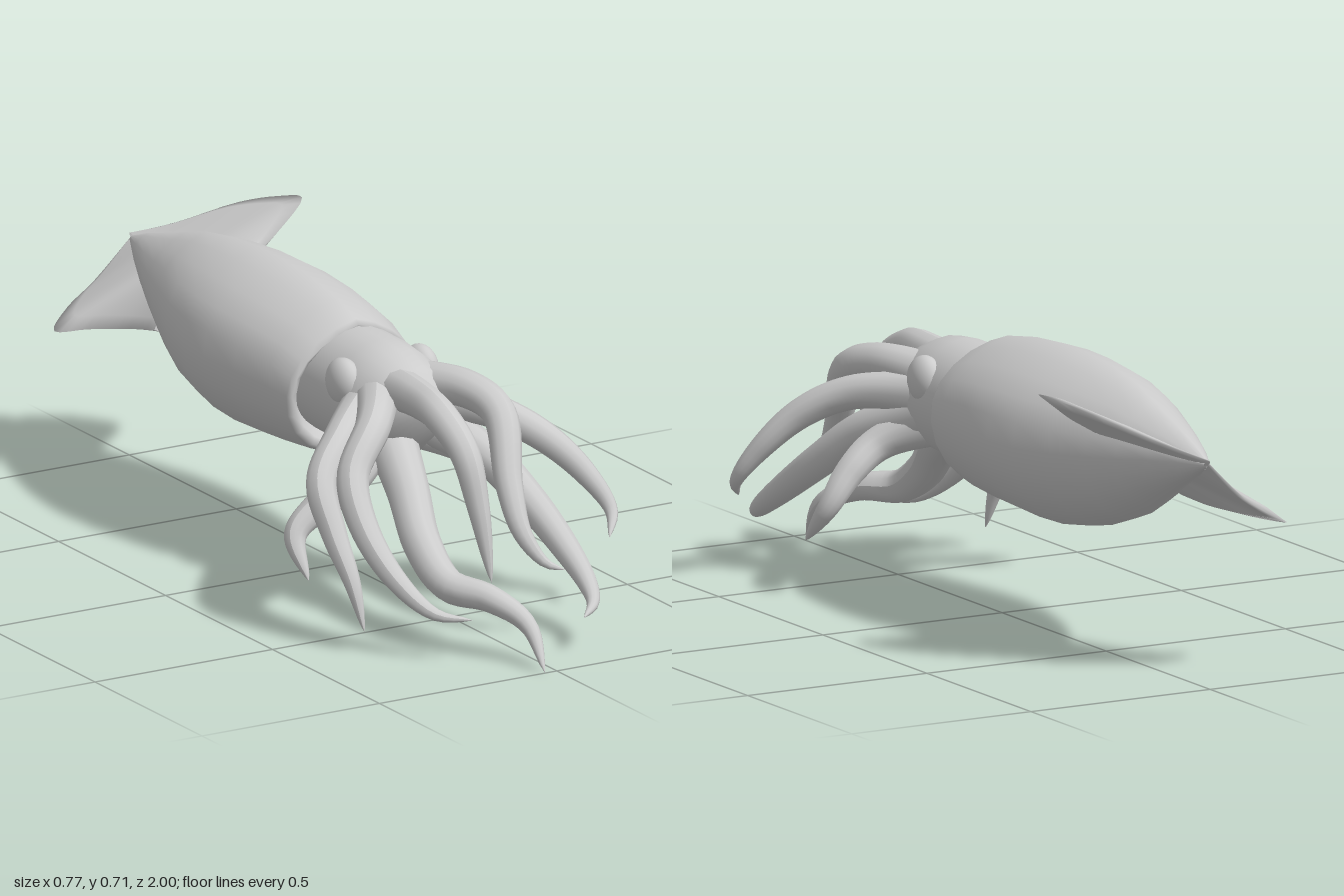
import * as THREE from 'three';

const skin = new THREE.MeshStandardMaterial({ color: 0xcccccc, side: THREE.DoubleSide });
skin.name = 'grey skin';

const V = (p) => new THREE.Vector3(...p);

function add(group, name, geometry) {
  const mesh = new THREE.Mesh(geometry, skin);
  mesh.name = name;
  group.add(mesh);
  return mesh;
}

// Joins rows of points into one smooth surface; closed rows wrap around.
function skinRows(rows, closed) {
  const m = rows[0].length;
  const index = [];
  for (let i = 0; i < rows.length - 1; i++) {
    for (let j = 0; j < (closed ? m : m - 1); j++) {
      const a = i * m + j, b = i * m + (j + 1) % m;
      index.push(a, a + m, b, b, a + m, b + m);
    }
  }
  const g = new THREE.BufferGeometry();
  g.setAttribute('position', new THREE.Float32BufferAttribute(rows.flat(2), 3));
  g.setIndex(index);
  g.computeVertexNormals();
  return g;
}

// Elliptical rings running front to back: [z, centre x, centre y, radius x, radius y, slope].
// A peak above zero pinches the upper half into a ridge.
function loft(rings, sides, peak = 0) {
  return skinRows(rings.map(([z, cx, cy, rx, ry, slope = 0]) =>
    Array.from({ length: sides }, (_, j) => {
      const a = Math.PI / 2 + (j / sides) * Math.PI * 2;
      const pinch = Math.sin(a) > 0 ? 1 - peak * Math.abs(Math.sin(2 * a)) : 1;
      const dy = Math.sin(a) * ry * pinch;
      return [cx + Math.cos(a) * rx, cy + dy, z + dy * slope];
    })), true);
}

// Tube along a curve, flared at the root and narrowing to a rounded tip
function arm(points, radius) {
  const curve = new THREE.CatmullRomCurve3(points.map(V));
  const n = 40, sides = 12;
  const g = new THREE.TubeGeometry(curve, n, radius, sides);
  const pos = g.attributes.position;
  const v = new THREE.Vector3();
  for (let i = 0; i <= n; i++) {
    const t = i / n;
    const centre = curve.getPointAt(t);
    const flare = 0.35 * Math.pow(Math.max(0, 1 - t / 0.4), 2);
    const s = Math.max(0.005, Math.pow(1 - Math.pow(t, 2.6), 0.75) + flare);
    for (let j = 0; j <= sides; j++) {
      const k = i * (sides + 1) + j;
      v.fromBufferAttribute(pos, k).sub(centre).multiplyScalar(s).add(centre);
      pos.setXYZ(k, v.x, v.y, v.z);
    }
  }
  g.computeVertexNormals();
  return g;
}

// Fin: thick along the root line, rounded off at the outer edge
function fin(rootFront, rootBack, edge) {
  const curve = new THREE.CatmullRomCurve3(edge.map(V));
  const n = 24;
  const rows = [];
  for (let i = 0; i <= n; i++) {
    const t = i / n;
    const r = V(rootFront).lerp(V(rootBack), t);
    const e = curve.getPoint(t);
    const mid = r.clone().lerp(e, 0.8);
    const h = 0.024 * (1 - t) + 0.008;
    rows.push([
      [r.x, r.y + h, r.z], [mid.x, mid.y + h * 0.55, mid.z], [e.x, e.y, e.z],
      [mid.x, mid.y - h * 0.55, mid.z], [r.x, r.y - h, r.z],
    ]);
  }
  return skinRows(rows, false);
}

export function createModel() {
  const squid = new THREE.Group();
  squid.name = 'squid';

  // Mantle, with its collar folded inwards around the head
  add(squid, 'mantle', loft([
    [0.03, -0.025, 0.485, 0.13, 0.13, 0.15],
    [0.08, -0.025, 0.48, 0.155, 0.15, 0.15],
    [0.09, -0.025, 0.477, 0.172, 0.165, 0.15],
    [0.075, -0.025, 0.478, 0.18, 0.175, 0.15],
    [0, -0.024, 0.488, 0.194, 0.194, 0.08],
    [-0.12, -0.026, 0.495, 0.21, 0.209],
    [-0.25, -0.027, 0.497, 0.217, 0.216],
    [-0.36, -0.026, 0.498, 0.208, 0.214],
    [-0.48, -0.026, 0.505, 0.184, 0.198],
    [-0.6, -0.025, 0.515, 0.145, 0.168],
    [-0.7, -0.021, 0.525, 0.112, 0.128],
    [-0.8, -0.016, 0.538, 0.078, 0.085],
    [-0.9, -0.008, 0.548, 0.042, 0.046],
    [-0.985, 0, 0.555, 0.008, 0.008],
  ], 20, 0.1));

  // Head, tapering in between the arms
  add(squid, 'head', loft([
    [0.42, -0.01, 0.52, 0.002, 0.002],
    [0.41, -0.01, 0.518, 0.05, 0.04],
    [0.37, -0.015, 0.502, 0.1, 0.095],
    [0.3, -0.025, 0.488, 0.13, 0.141],
    [0.22, -0.025, 0.49, 0.136, 0.147],
    [0.12, -0.025, 0.492, 0.138, 0.145],
    [0, -0.025, 0.49, 0.135, 0.14],
  ], 24));

  // Eyes, low bulges on the sides of the head
  for (const [name, side] of [['leftEye', 1], ['rightEye', -1]]) {
    const eye = add(squid, name, new THREE.SphereGeometry(0.06, 24, 16));
    eye.scale.x = 0.65;
    eye.position.set(-0.025 + side * 0.108, 0.545, 0.225);
  }

  // Tail fins, rolled and twisted as if swimming
  add(squid, 'leftFin', fin([0.05, 0.575, -0.585], [0, 0.555, -0.98], [
    [0.1, 0.6, -0.59], [0.2, 0.645, -0.625], [0.285, 0.7, -0.665], [0.26, 0.69, -0.73],
    [0.2, 0.66, -0.82], [0.08, 0.6, -0.92], [0, 0.565, -1],
  ]));
  add(squid, 'rightFin', fin([-0.05, 0.48, -0.68], [0, 0.55, -0.98], [
    [-0.11, 0.42, -0.7], [-0.14, 0.4, -0.8], [-0.19, 0.385, -0.88], [-0.25, 0.375, -0.935],
    [-0.18, 0.41, -0.99], [-0.1, 0.46, -1], [0, 0.56, -0.99],
  ]));

  // Arms, each a path from the head to the tip
  const arms = {
    upperRightArm: [0.046, [[-0.04, 0.535, 0.24], [-0.06, 0.553, 0.45], [-0.075, 0.545, 0.58],
      [-0.07, 0.48, 0.685], [-0.06, 0.36, 0.73], [-0.045, 0.17, 0.77]]],
    upperLeftArm: [0.046, [[0.01, 0.53, 0.24], [0.085, 0.55, 0.44], [0.108, 0.515, 0.55],
      [0.065, 0.37, 0.67], [0.06, 0.27, 0.74], [0.1, 0.2, 0.78], [0.145, 0.18, 0.8]]],
    innerRightArm: [0.044, [[-0.05, 0.525, 0.24], [-0.18, 0.5, 0.44], [-0.28, 0.405, 0.51],
      [-0.295, 0.3, 0.59], [-0.265, 0.19, 0.69], [-0.21, 0.12, 0.78], [-0.14, 0.11, 0.84]]],
    outerRightArm: [0.044, [[-0.07, 0.5, 0.24], [-0.24, 0.465, 0.39], [-0.338, 0.385, 0.46],
      [-0.345, 0.28, 0.53], [-0.335, 0.17, 0.6], [-0.325, 0.056, 0.64]]],
    outerLeftArm: [0.044, [[0.03, 0.5, 0.24], [0.16, 0.482, 0.44], [0.25, 0.425, 0.53],
      [0.33, 0.335, 0.59], [0.37, 0.25, 0.64], [0.335, 0.2, 0.69]]],
    lowerLeftArm: [0.048, [[0.03, 0.46, 0.24], [0.13, 0.38, 0.45], [0.18, 0.29, 0.57],
      [0.205, 0.2, 0.7], [0.205, 0.14, 0.8], [0.18, 0.11, 0.87], [0.125, 0.095, 0.92]]],
    lowerRightArm: [0.052, [[-0.03, 0.44, 0.24], [-0.09, 0.33, 0.45], [-0.135, 0.23, 0.6],
      [-0.135, 0.165, 0.72], [-0.08, 0.15, 0.82], [-0.028, 0.1, 0.91], [-0.033, 0.003, 1]]],
    rearLeftArm: [0.044, [[0.02, 0.43, 0.26], [0.14, 0.37, 0.35], [0.22, 0.31, 0.35],
      [0.28, 0.23, 0.35], [0.305, 0.135, 0.42]]],
    rearRightArm: [0.046, [[-0.06, 0.41, 0.26], [-0.2, 0.33, 0.35], [-0.28, 0.28, 0.34],
      [-0.345, 0.225, 0.35], [-0.35, 0.13, 0.42]]],
  };
  for (const [name, [radius, path]] of Object.entries(arms)) add(squid, name, arm(path, radius));

  return squid;
}
